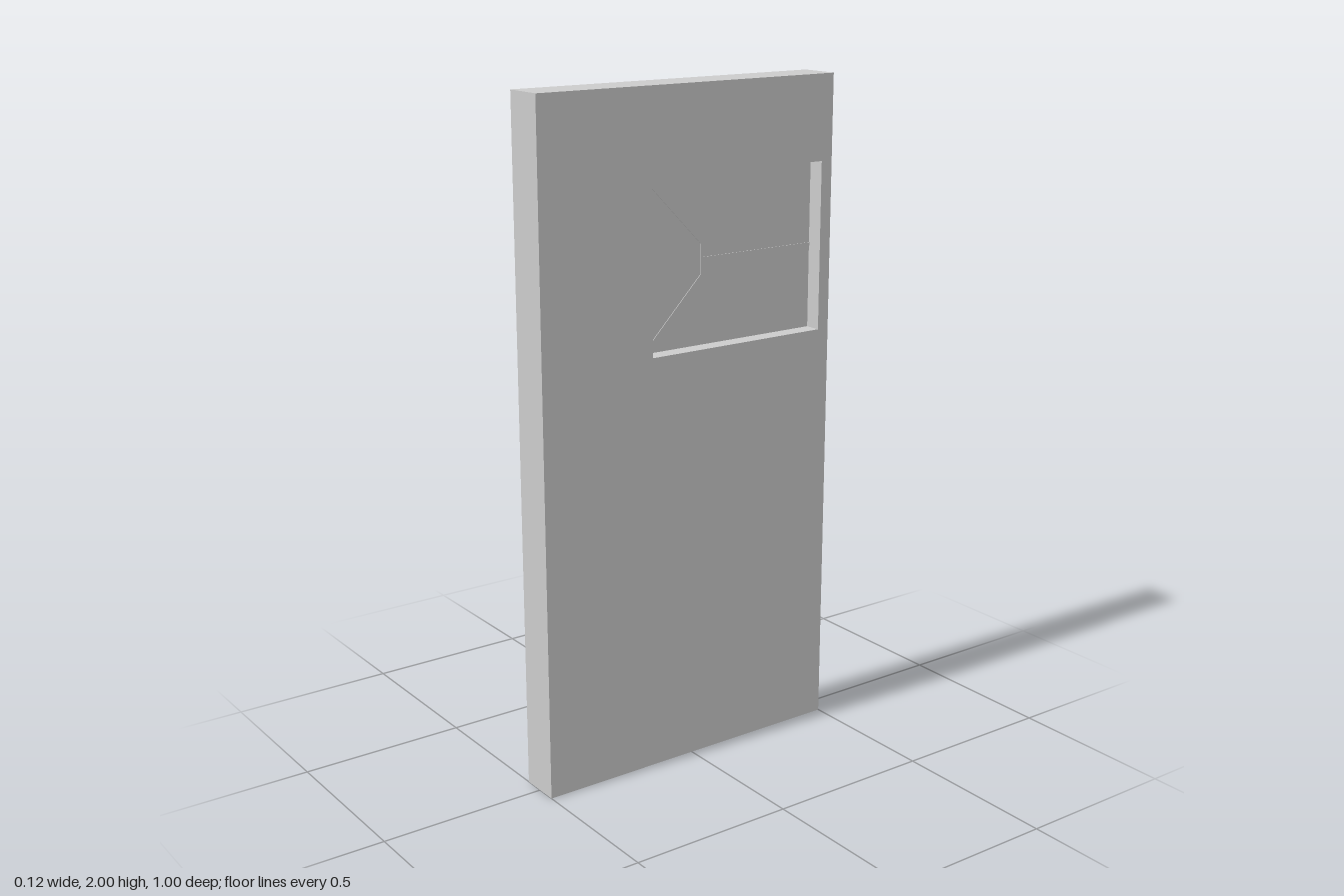
import * as THREE from 'three';

const mat = new THREE.MeshStandardMaterial({ color: 0xcccccc, flatShading: true });

// Extrudes a (z, y) outline evenly about x = 0
function slab(shape, thickness, name) {
  const geo = new THREE.ExtrudeGeometry(shape, { depth: thickness, bevelEnabled: false });
  geo.translate(0, 0, -thickness / 2).rotateY(-Math.PI / 2);
  const mesh = new THREE.Mesh(geo, mat);
  mesh.name = name;
  return mesh;
}

function rect(Type, z0, y0, z1, y1) {
  return new Type([[z0, y0], [z1, y0], [z1, y1], [z0, y1]].map(p => new THREE.Vector2(...p)));
}

export function createModel() {
  const door = new THREE.Group();
  door.name = 'door';
  const win = [-0.4625, 1.25, 0.1375, 1.75];

  // Door leaf with a window opening
  const leaf = rect(THREE.Shape, -0.5, 0, 0.5, 2);
  leaf.holes.push(rect(THREE.Path, ...win));
  door.add(slab(leaf, 0.125, 'doorLeaf'));

  // Recessed pane, visible from both sides
  door.add(slab(rect(THREE.Shape, ...win), 0.025, 'windowPane'));

  // Thin glazing bars standing just proud of the pane on both faces
  const bars = new THREE.Group();
  bars.name = 'glazingBars';
  const width = 0.01;
  const addBar = (z0, y0, z1, y1, name) => {
    const length = Math.hypot(z1 - z0, y1 - y0);
    const bar = new THREE.Mesh(new THREE.BoxGeometry(0.029, width, length), mat);
    bar.position.set(0, (y0 + y1) / 2, (z0 + z1) / 2);
    bar.rotation.x = -Math.atan2(y1 - y0, z1 - z0);
    bar.name = name;
    bars.add(bar);
  };
  addBar(-0.465, 1.5, -0.067, 1.5, 'middleBar');
  addBar(-0.067, 1.452, -0.067, 1.548, 'uprightBar');
  addBar(-0.067, 1.547, 0.134, 1.752, 'upperDiagonalBar');
  addBar(-0.067, 1.453, 0.134, 1.248, 'lowerDiagonalBar');
  door.add(bars);

  return door;
}
